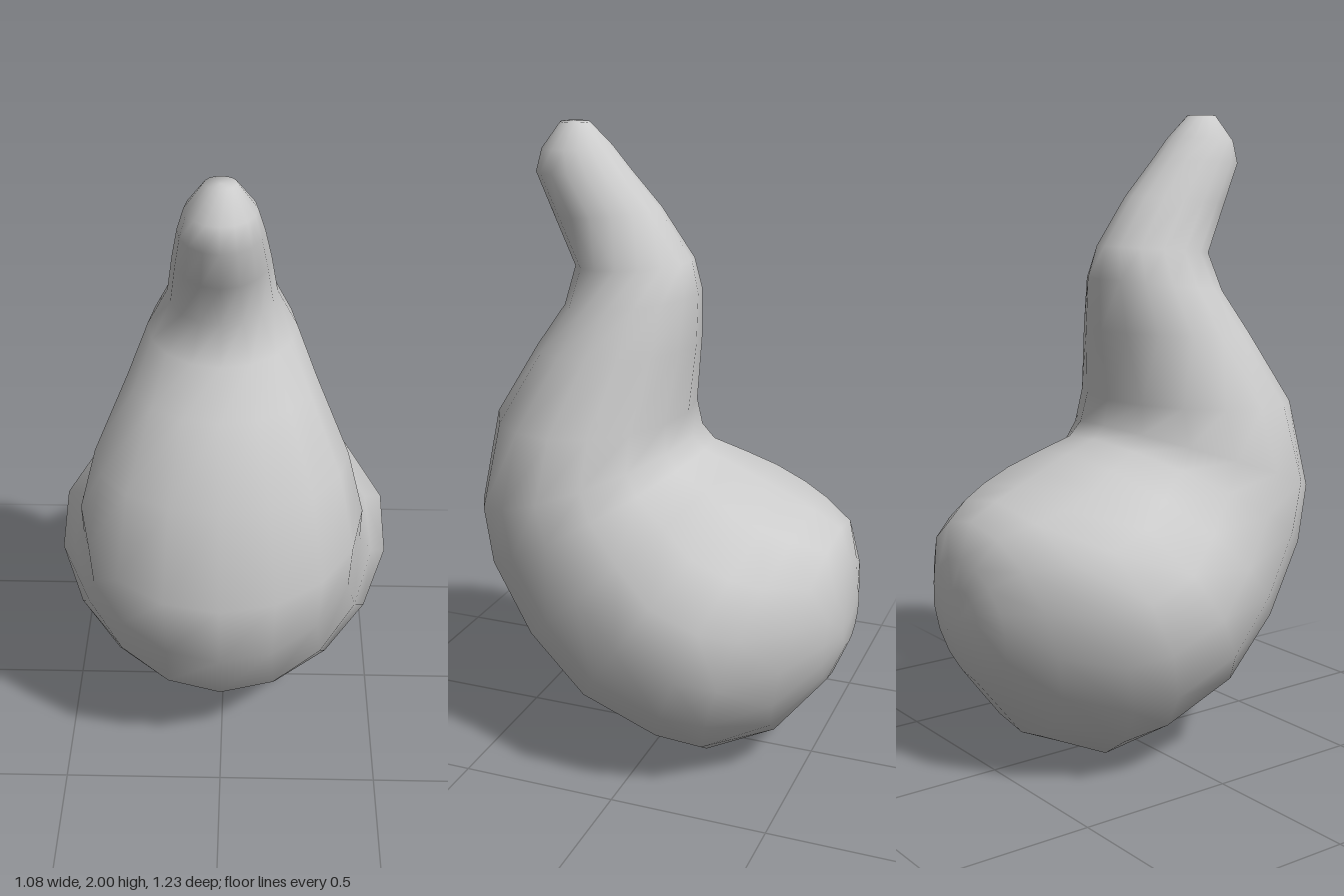
import * as THREE from 'three';
import { mergeVertices } from 'three/addons/utils/BufferGeometryUtils.js';

// Cross-sections along the bent body, from the tip of the neck to the back of the bulb:
// [outer z, outer y, inner z, inner y, half width, fullness towards the inner side]
const SECTIONS = [
  [0.31, 2.0, 0.31, 2.0, 0, 0],
  [0.35, 2.0, 0.26, 2.0, 0.045, 0],
  [0.41, 1.92, 0.19, 1.93, 0.1, 0],
  [0.43, 1.85, 0.13, 1.86, 0.12, 0],
  [0.37, 1.72, 0.03, 1.75, 0.14, 0],
  [0.30, 1.57, -0.075, 1.60, 0.16, 0],
  [0.33, 1.45, -0.095, 1.50, 0.22, 0],
  [0.42, 1.32, -0.09, 1.34, 0.28, 0],
  [0.55, 1.10, -0.065, 1.12, 0.38, 0],
  [0.61, 0.79, -0.08, 1.04, 0.43, 0],
  [0.59, 0.58, -0.12, 1.0, 0.43, 0.04],
  [0.45, 0.33, -0.22, 0.965, 0.48, 0.1],
  [0.24, 0.14, -0.31, 0.925, 0.54, 0.14],
  [-0.03, 0.03, -0.40, 0.885, 0.53, 0.14],
  [-0.18, 0.0, -0.48, 0.85, 0.47, 0.12],
  [-0.40, 0.10, -0.57, 0.80, 0.34, 0.08],
  [-0.56, 0.30, -0.605, 0.69, 0.21, 0],
  [-0.61, 0.42, -0.615, 0.60, 0.1, 0],
  [-0.615, 0.51, -0.615, 0.51, 0, 0],
];
const SIDES = 16;

// Skins egg-shaped rings into one closed smooth surface; rings of no size close the ends
function loft(sections, sides) {
  const positions = [];
  const index = [];
  const last = sections.length - 1;
  sections.forEach(([z0, y0, z1, y1, width, fullness], i) => {
    for (let j = 0; j < sides; j++) {
      const t = (j / sides) * Math.PI * 2;
      const k = (1 + Math.cos(t)) / 2;
      const x = width * Math.sin(t) * (1 - fullness * Math.cos(t));
      positions.push(x, y1 + (y0 - y1) * k, z1 + (z0 - z1) * k);
      if (i === last) continue;
      const a = i * sides + j;
      const b = i * sides + ((j + 1) % sides);
      const c = a + sides;
      const d = b + sides;
      if (i > 0) index.push(a, c, b);
      if (i < last - 1) index.push(b, c, d);
    }
  });
  const geometry = new THREE.BufferGeometry();
  geometry.setAttribute('position', new THREE.Float32BufferAttribute(positions, 3));
  geometry.setIndex(index);
  const welded = mergeVertices(geometry, 1e-4);
  welded.computeVertexNormals();
  return welded;
}

export function createModel() {
  const model = new THREE.Group();
  model.name = 'gourd';
  const material = new THREE.MeshStandardMaterial({ color: 0xcccccc });

  // Curved neck and rounded bulb in one continuous skin
  const body = new THREE.Mesh(loft(SECTIONS, SIDES), material);
  body.name = 'gourdBody';
  model.add(body);
  return model;
}
